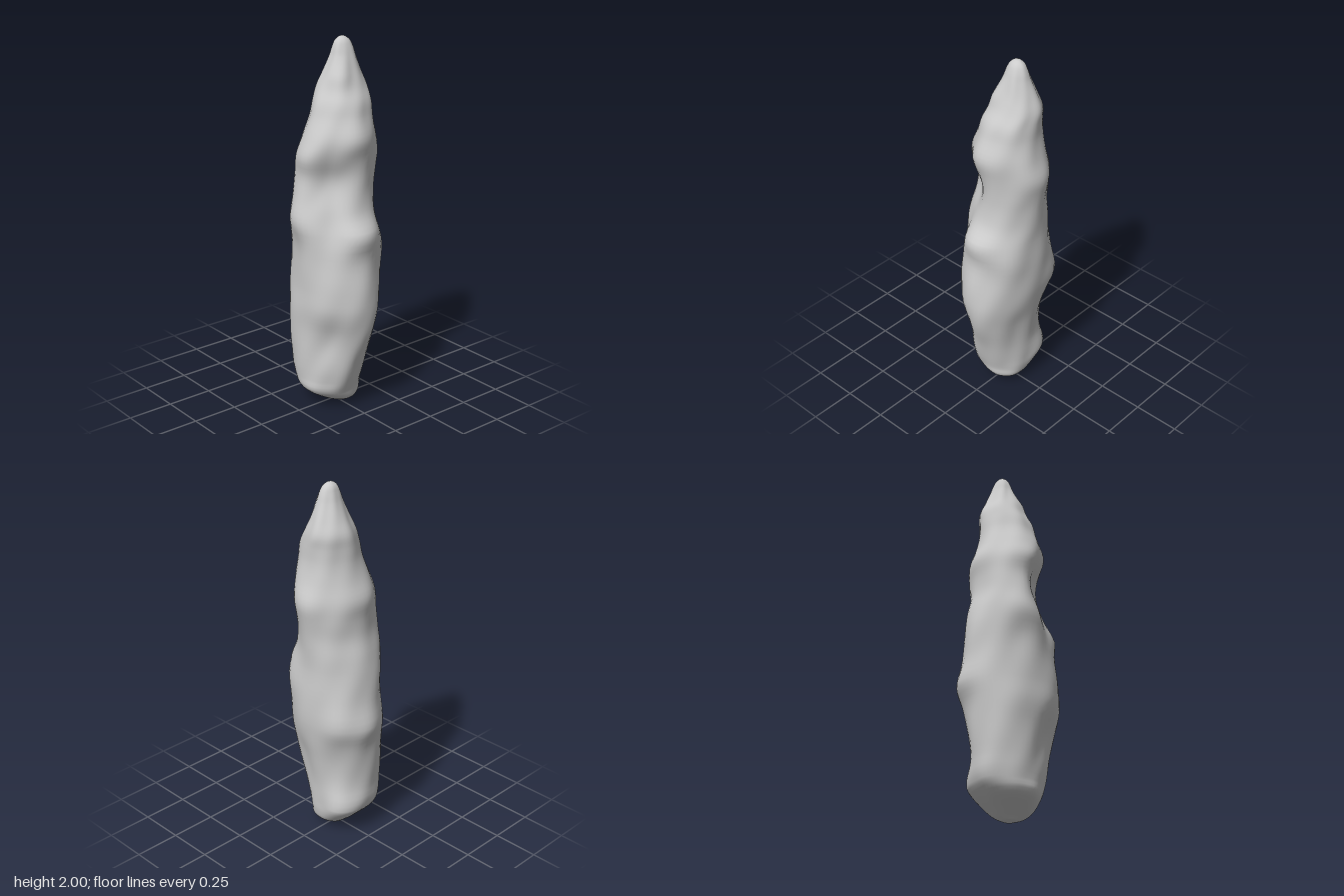
import * as THREE from 'three';

// Cross-sections from base to tip: [y, xMin, xMax, zMin, zMax]
const SECTIONS = [
  [0.004, -0.03, 0.04, -0.04, 0.03],
  [0.02, -0.06, 0.085, -0.075, 0.052],
  [0.045, -0.09, 0.12, -0.112, 0.1],
  [0.1, -0.15, 0.14, -0.135, 0.185],
  [0.17, -0.197, 0.165, -0.14, 0.195],
  [0.3, -0.207, 0.205, -0.145, 0.2],
  [0.45, -0.225, 0.255, -0.167, 0.207],
  [0.58, -0.24, 0.275, -0.195, 0.218],
  [0.7, -0.257, 0.268, -0.21, 0.212],
  [0.85, -0.248, 0.245, -0.213, 0.213],
  [1.0, -0.24, 0.24, -0.205, 0.224],
  [1.1, -0.224, 0.205, -0.208, 0.224],
  [1.2, -0.2, 0.188, -0.214, 0.22],
  [1.3, -0.195, 0.184, -0.225, 0.208],
  [1.4, -0.19, 0.187, -0.226, 0.203],
  [1.5, -0.168, 0.188, -0.212, 0.177],
  [1.6, -0.148, 0.166, -0.194, 0.135],
  [1.68, -0.142, 0.147, -0.19, 0.11],
  [1.75, -0.136, 0.105, -0.187, 0.075],
  [1.82, -0.106, 0.073, -0.162, 0.04],
  [1.9, -0.073, 0.05, -0.13, 0.01],
  [1.95, -0.056, 0.034, -0.113, -0.004],
  [1.98, -0.043, 0.018, -0.095, -0.02],
  [1.994, -0.028, 0.001, -0.076, -0.038],
];

// Swellings and hollows: [angle from front towards +x, y, angular width, height, depth]
const LUMPS = [
  [45, 1.26, 36, 0.15, -0.075],
  [45, 1.03, 30, 0.1, -0.03],
  [45, 0.42, 30, 0.14, -0.045],
  [50, 0.75, 28, 0.12, 0.01],
  [45, 1.82, 38, 0.08, 0.025],
  [225, 0.16, 32, 0.13, 0.038],
  [225, 0.7, 28, 0.11, 0.025],
  [315, 0.35, 32, 0.28, 0.028],
  [135, 0.92, 28, 0.12, 0.022],
  [90, 1.0, 24, 0.07, 0.032],
  [90, 1.5, 26, 0.09, 0.022],
  [270, 0.69, 24, 0.08, 0.02],
  [270, 1.41, 26, 0.08, 0.02],
  [0, 1.06, 28, 0.09, 0.026],
  [0, 1.4, 26, 0.07, 0.016],
  [180, 1.39, 28, 0.08, 0.02],
  [345, 0.95, 16, 0.12, -0.012],
  [160, 0.5, 18, 0.18, -0.012],
];

const SIDES = 48;
const STEPS = 4;

function lumpAt(deg, y) {
  let sum = 0;
  for (const [a, cy, w, h, depth] of LUMPS) {
    const da = ((deg - a + 540) % 360) - 180;
    sum += depth * Math.exp(-((da / w) ** 2) - ((y - cy) / h) ** 2);
  }
  return sum;
}

function rockGeometry() {
  // Smooth outline through the cross-sections
  const heights = SECTIONS.map((s) => s[0]);
  const outline = new THREE.CubicInterpolant(heights, SECTIONS.flatMap((s) => s.slice(1)), 4);
  const levels = [heights[0]];
  for (let i = 1; i < heights.length; i++) {
    for (let k = 1; k <= STEPS; k++) {
      levels.push(THREE.MathUtils.lerp(heights[i - 1], heights[i], k / STEPS));
    }
  }

  // Base pole, rings, tip pole
  const points = [0.005, 0, -0.005];
  for (const y of levels) {
    const [x0, x1, z0, z1] = outline.evaluate(y);
    const fade = Math.min(1, y / 0.16, (2 - y) / 0.2);
    for (let i = 0; i < SIDES; i++) {
      const a = (i / SIDES) * Math.PI * 2;
      const ripple = 0.003 * Math.sin(5 * a + 9 * y) + 0.002 * Math.sin(8 * a - 14 * y);
      const d = (lumpAt((i / SIDES) * 360, y) + ripple) * fade;
      points.push(
        (x0 + x1) / 2 + Math.sin(a) * ((x1 - x0) / 2 + d),
        y,
        (z0 + z1) / 2 + Math.cos(a) * ((z1 - z0) / 2 + d)
      );
    }
  }
  points.push(-0.014, 2, -0.057);

  const index = [];
  const tip = points.length / 3 - 1;
  const top = levels.length - 1;
  const at = (r, i) => 1 + r * SIDES + (i % SIDES);
  for (let i = 0; i < SIDES; i++) {
    index.push(0, at(0, i + 1), at(0, i));
    for (let r = 0; r < top; r++) {
      index.push(at(r, i), at(r, i + 1), at(r + 1, i + 1));
      index.push(at(r, i), at(r + 1, i + 1), at(r + 1, i));
    }
    index.push(at(top, i), at(top, i + 1), tip);
  }

  const geometry = new THREE.BufferGeometry();
  geometry.setAttribute('position', new THREE.Float32BufferAttribute(points, 3));
  geometry.setIndex(index);
  geometry.computeVertexNormals();
  return geometry;
}

export function createModel() {
  const group = new THREE.Group();
  group.name = 'rockSpire';
  // One tall, weathered stone
  const rock = new THREE.Mesh(rockGeometry(), new THREE.MeshStandardMaterial({ color: 0xcccccc }));
  rock.name = 'stone';
  group.add(rock);
  return group;
}
